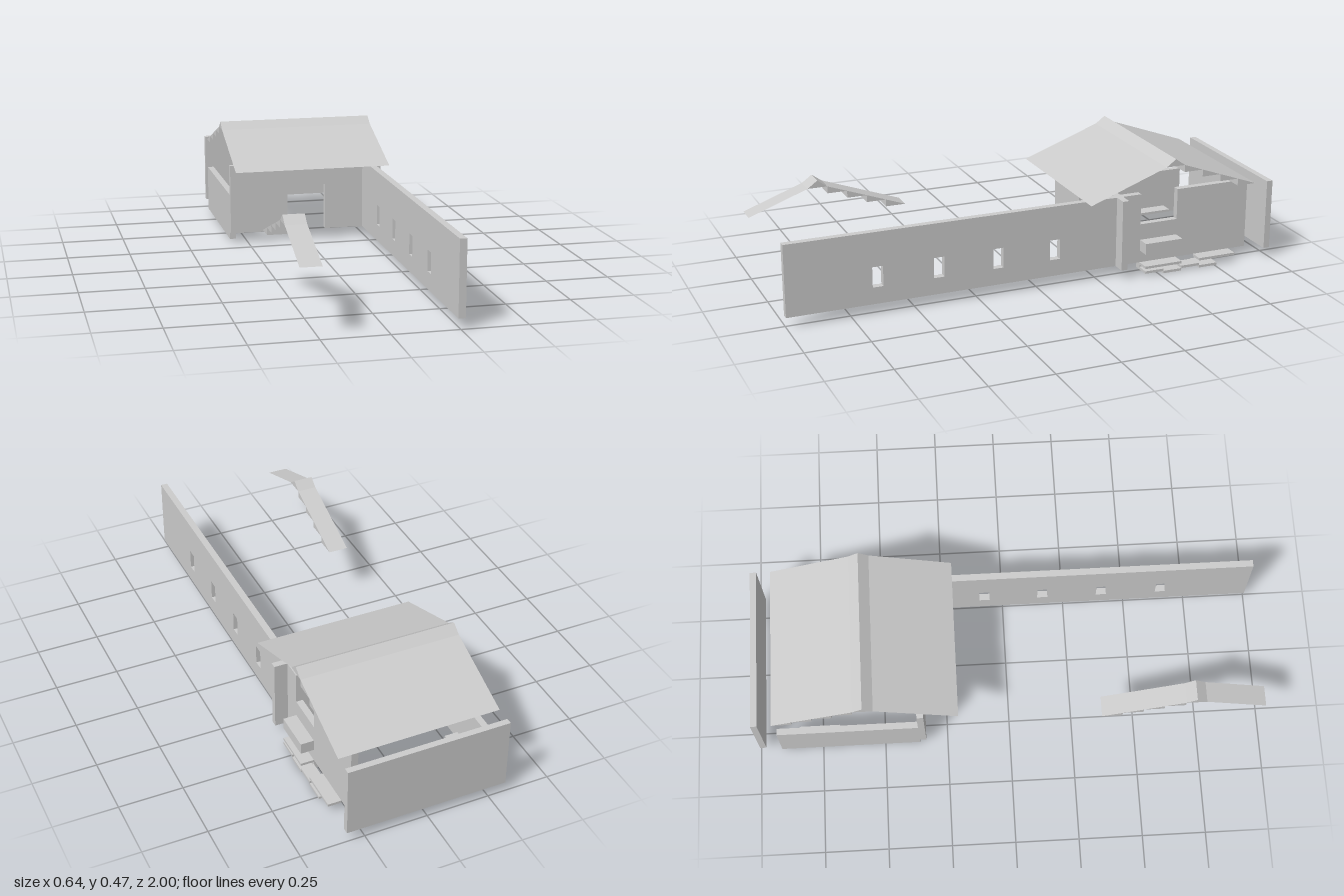
import * as THREE from 'three';

const material = new THREE.MeshStandardMaterial({ color: 0xcccccc, flatShading: true });
const sheetMaterial = new THREE.MeshStandardMaterial({ color: 0xcccccc, flatShading: true, side: THREE.DoubleSide });

function add(parent, name, geometry, mat = material) {
  const mesh = new THREE.Mesh(geometry, mat);
  mesh.name = name;
  parent.add(mesh);
  return mesh;
}

// Box given by its limits on each axis
function box(parent, name, [x0, x1], [y0, y1], [z0, z1]) {
  const g = new THREE.BoxGeometry(x1 - x0, y1 - y0, Math.abs(z1 - z0));
  g.translate((x0 + x1) / 2, (y0 + y1) / 2, (z0 + z1) / 2);
  return add(parent, name, g);
}

// Side profile of [z, y] points, extruded along x
function profile(parent, name, points, [x0, x1], holes = []) {
  const toVectors = (list) => list.map(([z, y]) => new THREE.Vector2(-z, y));
  const shape = new THREE.Shape(toVectors(points));
  for (const hole of holes) shape.holes.push(new THREE.Path(toVectors(hole)));
  const g = new THREE.ExtrudeGeometry(shape, { depth: x1 - x0, bevelEnabled: false });
  g.rotateY(Math.PI / 2).translate(x0, 0, 0);
  return add(parent, name, g);
}

// Thin sloping sheet between two [z, y] edges
function sheet(parent, name, [za, ya], [zb, yb], [x0, x1]) {
  const g = new THREE.BufferGeometry();
  g.setAttribute('position', new THREE.Float32BufferAttribute(
    [x0, ya, za, x1, ya, za, x1, yb, zb, x0, yb, zb], 3));
  g.setIndex([0, 1, 2, 0, 2, 3]);
  g.computeVertexNormals();
  return add(parent, name, g, sheetMaterial);
}

// Gable roof: ridge cap, plain front slope, stepped back slope
function roof(name, ridgeZ, eaveY, frontLength, xs) {
  const group = new THREE.Group();
  group.name = name;
  const step = 0.08, rise = 0.029, capY = eaveY + 4 * rise;
  const front = ridgeZ + 0.04, back = ridgeZ - 0.04;
  profile(group, 'ridgeCap', [[front, capY], [ridgeZ, capY + 0.029], [back, capY]], xs);
  sheet(group, 'frontSlope', [front + frontLength, capY - frontLength * rise / step], [front, capY], xs);
  for (let i = 0; i < 4; i++) {
    const z = back - i * step, y = capY - i * rise;
    profile(group, 'roofStep', [[z, y], [z, y - rise], [z - step, y - rise]], xs);
  }
  return group;
}

export function createModel() {
  const model = new THREE.Group();
  model.name = 'house';
  const low = 0.04, top = 0.325;
  const wallX = [0.24, 0.267];

  // Long garden wall with four windows
  const windows = [0.645, 0.403, 0.163, -0.073].map((z) =>
    [[z - 0.021, 0.107], [z + 0.021, 0.107], [z + 0.021, 0.188], [z - 0.021, 0.188]]);
  profile(model, 'longWall', [[1, low], [-0.335, low], [-0.335, top], [1, top]], wallX, windows);

  // Front wall with doorway
  const front = new THREE.Shape([[-0.32, low], [-0.08, low], [-0.08, 0.23], [0.08, 0.23],
    [0.08, low], [0.32, low], [0.32, top], [-0.32, top]].map(([x, y]) => new THREE.Vector2(x, y)));
  const frontGeometry = new THREE.ExtrudeGeometry(front, { depth: 0.026, bevelEnabled: false });
  frontGeometry.translate(0, 0, -0.361);
  add(model, 'frontWall', frontGeometry);

  // Right wall with an open notch, low left wall, free-standing back wall
  profile(model, 'notchedWall', [[-0.361, low], [-0.915, low], [-0.915, top], [-0.6, top],
    [-0.6, 0.2], [-0.44, 0.2], [-0.44, top], [-0.361, top]], wallX);
  box(model, 'lowWall', [-0.32, -0.294], [0.01, 0.2], [-0.361, -0.915]);
  box(model, 'backWall', [-0.32, 0.32], [low, top], [-0.975, -1]);

  // Ledges, window box and plinth beside the walls
  box(model, 'innerLedge', [-0.294, -0.24], [0.03, 0.04], [-0.68, -0.84]);
  box(model, 'windowBox', [0.267, 0.32], [0.09, 0.135], [-0.44, -0.6]);
  box(model, 'plinth', wallX, [0.01, 0.04], [-0.44, -0.6]);
  box(model, 'outerLedge', [0.267, 0.32], [0.03, 0.04], [-0.44, -0.6]);
  box(model, 'outerLedge', [0.267, 0.32], [0.03, 0.04], [-0.68, -0.84]);
  box(model, 'steppingSlab', [0.267, 0.32], [0.01, 0.02], [-0.44, -0.52]);
  box(model, 'steppingSlab', [0.267, 0.32], [0.01, 0.02], [-0.6, -0.68]);
  box(model, 'groundSlab', [0.24, 0.32], [0, 0.01], [-0.52, -0.6]);
  box(model, 'groundSlab', [0.24, 0.32], [0, 0.01], [-0.68, -0.76]);

  // Main roof and the small separate roof strip
  model.add(roof('mainRoof', -0.56, 0.325, 0.32, [-0.32, 0.32]));
  model.add(roof('smallRoof', 0.72, 0.229, 0.24, [-0.32, -0.24]));
  return model;
}
